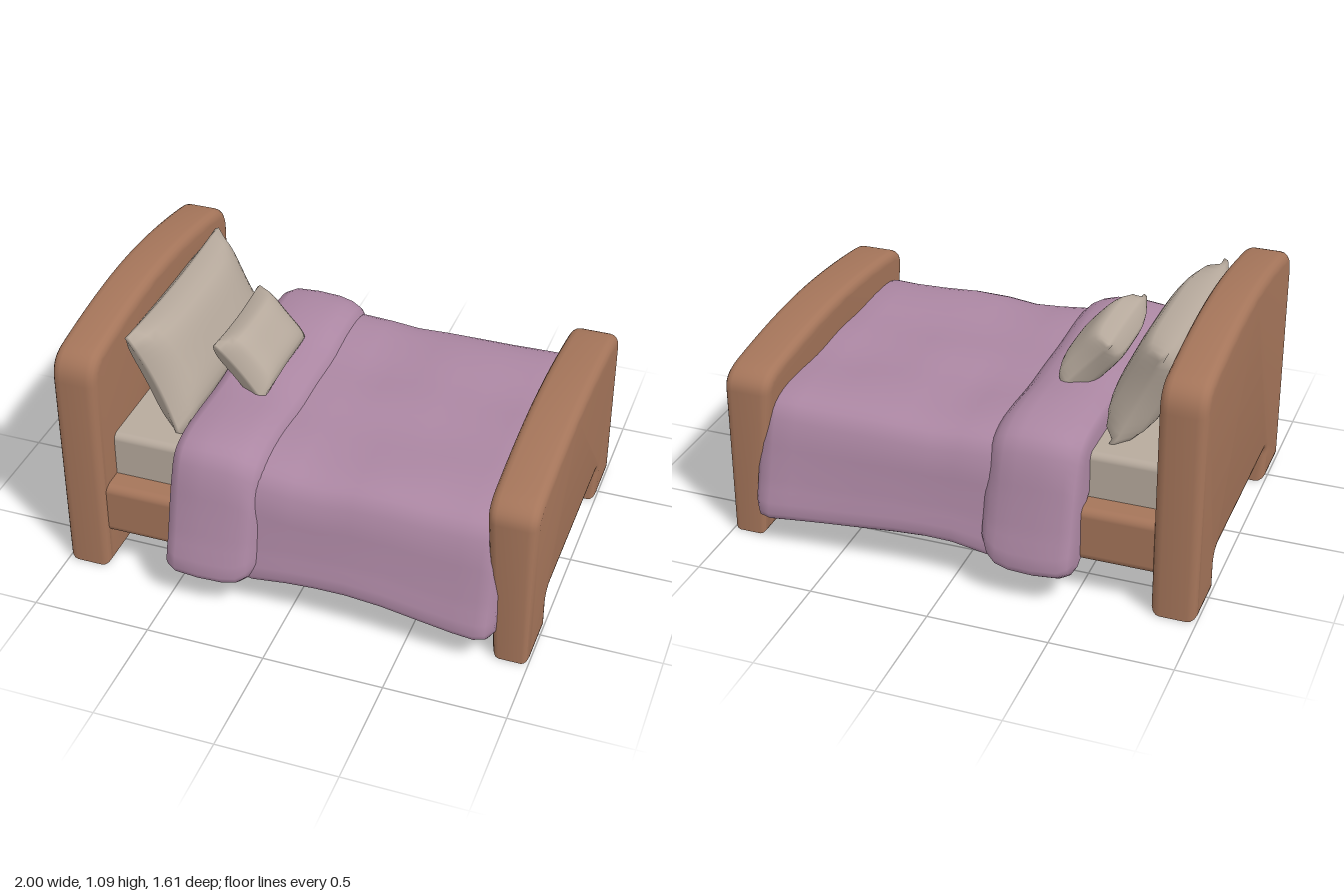
import * as THREE from 'three';
import { mergeVertices, toCreasedNormals } from 'three/addons/utils/BufferGeometryUtils.js';
import { RoundedBoxGeometry } from 'three/addons/geometries/RoundedBoxGeometry.js';

const wood = new THREE.MeshStandardMaterial({ name: 'wood', color: 0xa5755a });
const linen = new THREE.MeshStandardMaterial({ name: 'linen', color: 0xb7aa9d });
const lilac = new THREE.MeshStandardMaterial({ name: 'lilac', color: 0xac87a3 });

const { lerp } = THREE.MathUtils;

function addMesh(parent, name, geometry, material, x = 0, y = 0, z = 0) {
  const mesh = new THREE.Mesh(geometry, material);
  mesh.name = name;
  mesh.position.set(x, y, z);
  parent.add(mesh);
  return mesh;
}

// Arched end panel with two legs; outline in (z, y), thickness along x from 0 to depth
function boardGeometry(peak, shoulder, side, depth) {
  const w = 0.69;
  const s = new THREE.Shape();
  s.moveTo(-w, 0);
  s.lineTo(-0.43, 0);
  s.lineTo(-0.43, 0.13);
  s.quadraticCurveTo(-0.43, 0.17, -0.38, 0.17);
  s.lineTo(0.38, 0.17);
  s.quadraticCurveTo(0.43, 0.17, 0.43, 0.13);
  s.lineTo(0.43, 0);
  s.lineTo(w, 0);
  s.lineTo(w, side);
  s.quadraticCurveTo(w, shoulder - 0.02, 0.58, shoulder);
  s.quadraticCurveTo(0.26, peak, 0, peak);
  s.quadraticCurveTo(-0.26, peak, -0.58, shoulder);
  s.quadraticCurveTo(-w, shoulder - 0.02, -w, side);
  s.closePath();
  const bevel = 0.04;
  const geo = new THREE.ExtrudeGeometry(s, {
    depth: depth - 2 * bevel, curveSegments: 8,
    bevelEnabled: true, bevelSize: bevel, bevelThickness: bevel, bevelOffset: -bevel, bevelSegments: 4,
  });
  geo.translate(0, 0, bevel);
  geo.rotateY(-Math.PI / 2);
  geo.translate(depth, 0, 0);
  return geo;
}

// Cushion with pinched edges: thin along x, tall along y, wide along z
function pillowGeometry(thick, high, wide) {
  const geo = new THREE.BoxGeometry(2, 2, 2, 1, 14, 18);
  geo.deleteAttribute('uv');
  geo.deleteAttribute('normal');
  const p = geo.attributes.position;
  for (let i = 0; i < p.count; i++) {
    const v = p.getY(i), u = p.getZ(i);
    const puff = 0.08 + 0.92 * Math.sqrt((1 - u ** 4) * (1 - v ** 4));
    p.setXYZ(i,
      p.getX(i) * thick / 2 * puff,
      v * high / 2 * (1 - 0.06 * (1 - u * u)),
      u * wide / 2 * (1 - 0.06 * (1 - v * v)));
  }
  const merged = mergeVertices(geo);
  merged.computeVertexNormals();
  return merged;
}

// Mirror a half profile of [z, y] points and sample it smoothly
function sampleProfile(half, n) {
  const mirrored = half.slice(0, -1).reverse().map(([z, y]) => [-z, y]);
  const pts = [...half, ...mirrored].map(([z, y]) => new THREE.Vector3(0, y, z));
  const curve = new THREE.CatmullRomCurve3(pts, false, 'centripetal');
  return Array.from({ length: n }, (_, i) => curve.getPoint(i / (n - 1)));
}

// Draped cloth lofted along x; stations are [x, puff, top, shoulderWidth, hemWidth, hemHeight]
function drapeGeometry(stations) {
  const n = 49;
  const inner = sampleProfile([[0.62, 0.19], [0.63, 0.25], [0.63, 0.32], [0.62, 0.38], [0.54, 0.45],
    [0.53, 0.56], [0.48, 0.58], [0.4, 0.58], [0.2, 0.58], [0, 0.58]], n);
  const pos = [], idx = [], cols = 2 * n;
  stations.forEach(([x, puff, top, wT, wB, yb], r) => {
    const mid = t => [lerp(wB, wT, t), lerp(yb + 0.04, top - 0.14, t)];
    const outer = sampleProfile([[wB - 0.05, yb], [wB, yb + 0.04], mid(0.35), mid(0.7), [wT, top - 0.14],
      [wT - 0.045, top - 0.05], [wT - 0.13, top - 0.01], [0.4, top], [0.2, top - 0.01], [0, top - 0.003]], n);
    outer.forEach((o, j) => {
      const wave = 0.005 * Math.sin(9 * x + 7 * o.z);
      pos.push(x, lerp(inner[j].y, o.y + wave, puff), lerp(inner[j].z, o.z, puff));
    });
    for (let j = n - 1; j >= 0; j--) pos.push(x, inner[j].y, inner[j].z);
    if (r === 0) return;
    for (let j = 0; j < cols; j++) {
      const k = (j + 1) % cols, a = (r - 1) * cols, b = r * cols;
      idx.push(a + j, b + j, a + k, b + j, b + k, a + k);
    }
  });
  const geo = new THREE.BufferGeometry();
  geo.setAttribute('position', new THREE.Float32BufferAttribute(pos, 3));
  geo.setIndex(idx);
  geo.computeVertexNormals();
  return geo;
}

export function createModel() {
  const bed = new THREE.Group();
  bed.name = 'bed';

  // Wooden frame
  addMesh(bed, 'headboard', toCreasedNormals(boardGeometry(1.09, 1.03, 0.9, 0.19), 0.8), wood, -1);
  const foot = boardGeometry(0.8, 0.755, 0.66, 0.21);
  const p = foot.attributes.position;
  for (let i = 0; i < p.count; i++) { // the panel thickens towards its top
    const t = 1 - p.getX(i) / 0.21;
    p.setX(i, p.getX(i) + t * 0.06 * (1 - p.getY(i) / 0.8));
  }
  addMesh(bed, 'footboard', toCreasedNormals(foot, 0.8), wood, 0.79);
  addMesh(bed, 'bedBase', new RoundedBoxGeometry(1.84, 0.235, 1.33, 3, 0.035), wood, 0, 0.285, 0);

  // Mattress and pillows
  addMesh(bed, 'mattress', new RoundedBoxGeometry(1.7, 0.23, 1.12, 3, 0.03), linen, 0, 0.48, 0);
  addMesh(bed, 'largePillow', pillowGeometry(0.23, 0.48, 0.93), linen, -0.665, 0.8, 0).rotation.z = 0.44;
  addMesh(bed, 'smallPillow', pillowGeometry(0.18, 0.31, 0.49), linen, -0.385, 0.79, 0).rotation.z = 0.72;

  // Blanket with its thicker turned-back fold
  addMesh(bed, 'blanket', drapeGeometry([
    [-0.3, 0, 0.65, 0.68, 0.74, 0.14], [-0.28, 0.9, 0.65, 0.68, 0.74, 0.14],
    [-0.15, 1, 0.65, 0.68, 0.74, 0.13], [0, 1, 0.64, 0.68, 0.74, 0.15],
    [0.12, 1, 0.632, 0.68, 0.74, 0.153], [0.25, 1, 0.642, 0.68, 0.745, 0.153],
    [0.4, 1, 0.642, 0.68, 0.75, 0.145], [0.55, 1, 0.636, 0.68, 0.755, 0.13],
    [0.7, 1, 0.638, 0.68, 0.765, 0.115], [0.79, 1, 0.642, 0.68, 0.77, 0.107],
    [0.835, 0.96, 0.63, 0.675, 0.765, 0.108], [0.862, 0.75, 0.62, 0.67, 0.75, 0.115],
    [0.868, 0, 0.62, 0.67, 0.75, 0.12],
  ]), lilac);
  addMesh(bed, 'blanketFold', drapeGeometry([
    [-0.515, 0, 0.69, 0.69, 0.78, 0.15], [-0.515, 0.65, 0.69, 0.69, 0.79, 0.14],
    [-0.5, 0.92, 0.7, 0.7, 0.795, 0.135], [-0.46, 1, 0.71, 0.705, 0.8, 0.125],
    [-0.36, 1, 0.715, 0.71, 0.805, 0.122], [-0.26, 1, 0.71, 0.705, 0.8, 0.125],
    [-0.2, 1, 0.695, 0.7, 0.79, 0.135], [-0.16, 0.95, 0.68, 0.695, 0.78, 0.16],
    [-0.13, 0.8, 0.66, 0.69, 0.76, 0.2], [-0.12, 0, 0.65, 0.68, 0.74, 0.22],
  ]), lilac);

  return bed;
}
